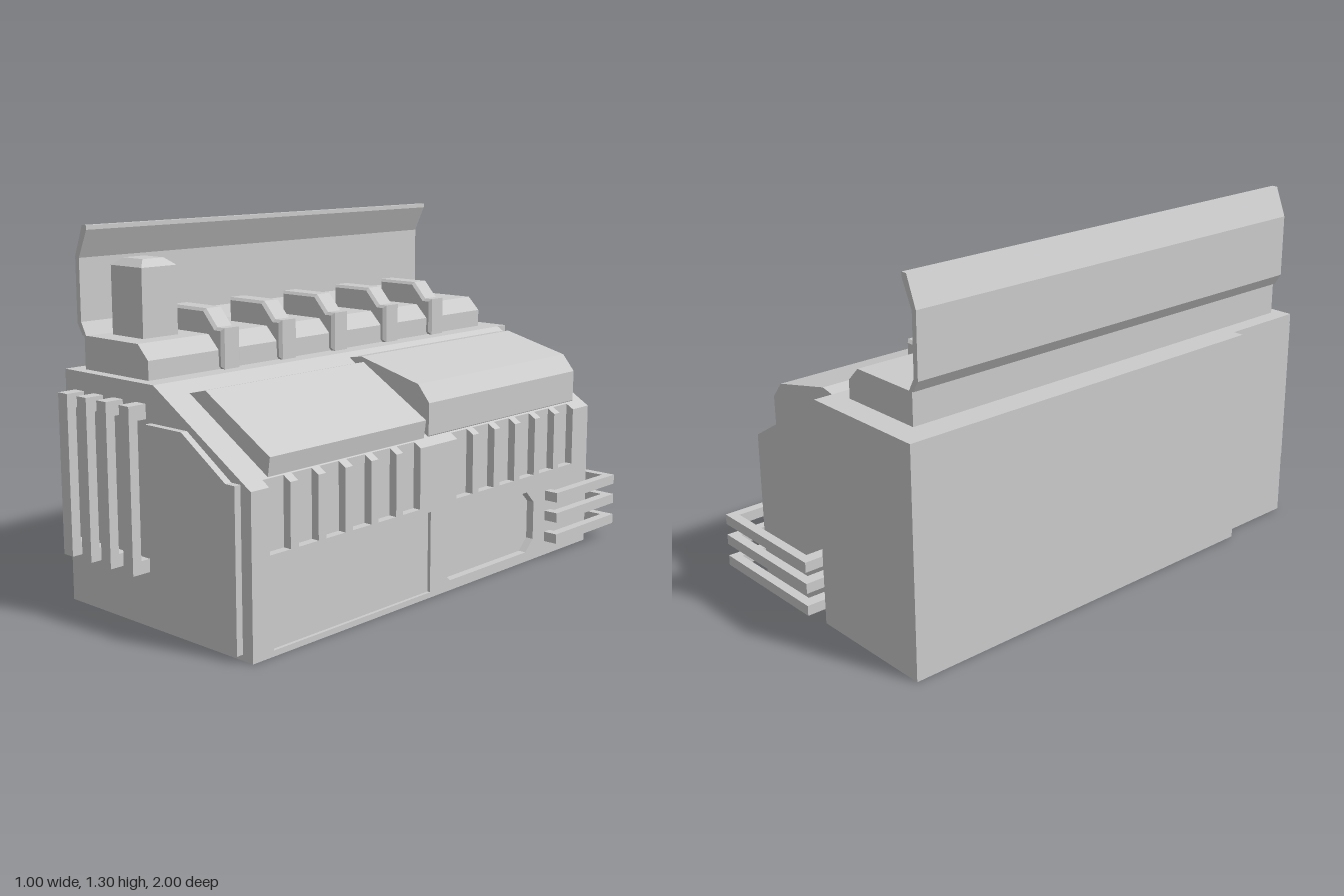
import * as THREE from 'three';

const mat = new THREE.MeshStandardMaterial({ color: 0xcccccc, flatShading: true });

const toShape = (pts) => new THREE.Shape(pts.map(([x, y]) => new THREE.Vector2(x, y)));

export function createModel() {
  const root = new THREE.Group();

  const add = (name, geo) => {
    const m = new THREE.Mesh(geo, mat);
    m.name = name;
    root.add(m);
    return m;
  };
  // Box given by its limits on each axis
  const box = (name, x0, x1, y0, y1, z0, z1) =>
    add(name, new THREE.BoxGeometry(x1 - x0, y1 - y0, z1 - z0)
      .translate((x0 + x1) / 2, (y0 + y1) / 2, (z0 + z1) / 2));
  // Front profile (x, y) run along z
  const prism = (name, pts, z0, z1) =>
    add(name, new THREE.ExtrudeGeometry(toShape(pts), { depth: z1 - z0, bevelEnabled: false })
      .translate(0, 0, z0));

  // Housing: tall block, stepped outer wall and sloped half
  box('tallBlock', -0.46, 0, 0, 0.815, -0.93, 0.93);
  box('outerWall', -0.5, -0.46, 0, 0.815, -0.93, 0.6);
  prism('slopedBlock', [[0, 0], [0.415, 0], [0.415, 0.563], [0, 0.815]], -0.88, 0.93);

  // Side plate with open slots along its top edge and two recesses (drawn in -z, y)
  const slots = [];
  for (let i = 0; i < 6; i++) slots.push(-0.853 + i * 0.125);
  for (let i = 0; i < 6; i++) slots.push(0.062 + i * 0.125);
  const edge = [[-0.93, 0], [0.88, 0], [0.88, 0.545]];
  for (const u of slots.reverse()) {
    edge.push([u + 0.09, 0.545], [u + 0.09, 0.33], [u, 0.33], [u, 0.545]);
  }
  edge.push([-0.93, 0.545]);
  const plate = toShape(edge);
  plate.holes.push(
    toShape([[-0.84, 0.02], [-0.84, 0.31], [-0.08, 0.31], [-0.08, 0.02]]),
    toShape([[-0.015, 0.08], [-0.015, 0.225], [0.03, 0.27], [0.485, 0.27],
      [0.53, 0.225], [0.53, 0.08], [0.485, 0.037], [0.03, 0.037]]));
  const plateGeo = new THREE.ExtrudeGeometry(plate, { depth: 0.03, bevelEnabled: false });
  // Raise the inner top edge so it meets the slope
  const p = plateGeo.attributes.position;
  for (let i = 0; i < p.count; i++) {
    if (p.getY(i) > 0.54 && p.getZ(i) < 0.01) p.setY(i, 0.563);
  }
  plateGeo.computeVertexNormals();
  add('sidePlate', plateGeo.rotateY(Math.PI / 2).translate(0.415, 0, 0));
  box('sideRecessPanel', 0.41, 0.433, 0.02, 0.31, 0.08, 0.84);

  // Covers on the slope
  prism('frontCover', [[0.055, 0.77], [0.40, 0.55], [0.41, 0.565], [0.42, 0.63],
    [0.13, 0.80], [0.055, 0.782]], 0.08, 0.825);
  const rear = prism('rearCover', [[0.025, 0.78], [0.40, 0.55], [0.41, 0.57], [0.412, 0.685],
    [0.36, 0.745], [0.085, 0.81], [0.025, 0.80]], -0.832, 0.047);
  rear.geometry.translate(-0.22, 0, 0)
    .applyMatrix4(new THREE.Matrix4().makeShear(0, 0.04, 0, 0, 0, 0))
    .translate(0.22, 0, 0);

  // Front door and stand-off bars
  prism('frontDoor', [[0.003, 0.02], [0.40, 0.02], [0.40, 0.56], [0.36, 0.56],
    [0.16, 0.69], [-0.015, 0.69]], 0.93, 0.955);
  for (const x of [-0.385, -0.283, -0.179, -0.063]) {
    const bar = toShape([[-0.93, 0.19], [-0.93, 0.235], [-0.965, 0.235], [-0.965, 0.70],
      [-0.93, 0.70], [-0.93, 0.75], [-1, 0.75], [-1, 0.19]]);
    add('frontBar', new THREE.ExtrudeGeometry(bar, { depth: 0.048, bevelEnabled: false })
      .rotateY(Math.PI / 2).translate(x - 0.024, 0, 0));
  }

  // Guard rails wrapping the rear corner (drawn in x, -z)
  const rail = toShape([[0, 0.88], [0, 1], [0.5, 1], [0.5, 0.605], [0.445, 0.605],
    [0.445, 0.64], [0.465, 0.64], [0.465, 0.965], [0.045, 0.965], [0.045, 0.88]]);
  for (const y of [0.055, 0.138, 0.217]) {
    add('guardRail', new THREE.ExtrudeGeometry(rail, { depth: 0.037, bevelEnabled: false })
      .rotateX(-Math.PI / 2).translate(0, y, 0));
  }

  // Top ridge with clips
  prism('topRidge', [[-0.40, 0.815], [-0.07, 0.815], [-0.07, 0.88], [-0.12, 0.93],
    [-0.40, 0.93]], -0.84, 0.89);
  const clip = toShape([[-0.315, 0.815], [-0.05, 0.815], [-0.05, 0.955], [-0.085, 0.955],
    [-0.14, 1.015], [-0.315, 1.015]]);
  for (const z of [0.543, 0.27, 0.003, -0.28, -0.55]) {
    add('clip', new THREE.ExtrudeGeometry(clip, {
      depth: 0.065, bevelThickness: 0.01, bevelSize: 0.01, bevelOffset: -0.01, bevelSegments: 1,
    }).translate(0, 0, z - 0.0325));
  }

  // Post with a chamfered cap
  box('post', -0.35, -0.19, 0.93, 1.165, 0.66, 0.81);
  const cap = new THREE.BoxGeometry(0.16, 0.025, 0.15);
  const c = cap.attributes.position;
  for (let i = 0; i < c.count; i++) {
    if (c.getY(i) > 0) c.setXYZ(i, c.getX(i) * 0.63, c.getY(i), c.getZ(i) * 0.6);
  }
  cap.computeVertexNormals();
  add('postCap', cap.translate(-0.27, 1.1775, 0.735));

  // Bent upright flap
  prism('flap', [[-0.405, 0.93], [-0.385, 0.93], [-0.41, 0.975], [-0.41, 1.19],
    [-0.365, 1.285], [-0.365, 1.30], [-0.388, 1.30], [-0.43, 1.195], [-0.43, 0.97]], -0.84, 0.895);

  return root;
}
